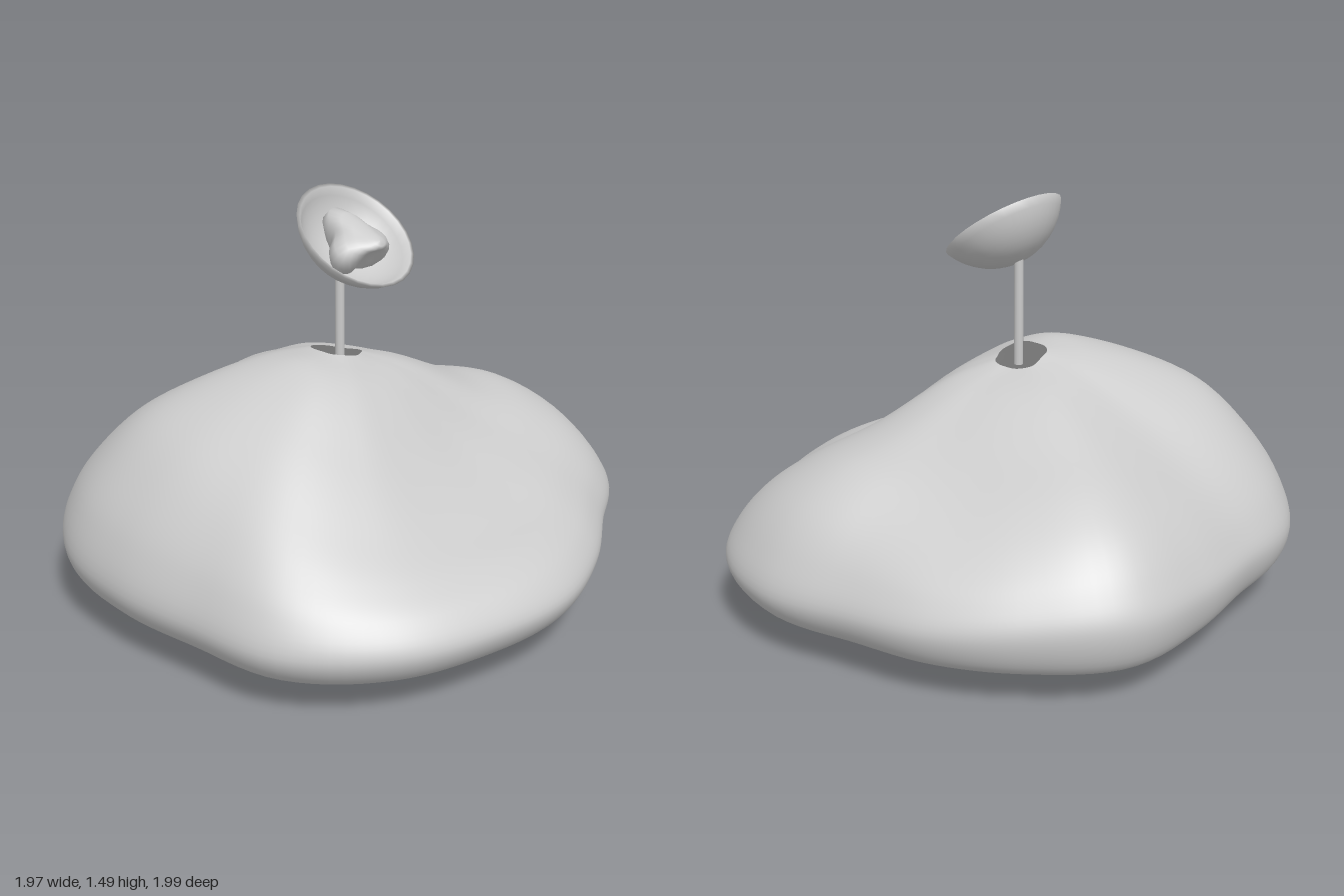
import * as THREE from 'three';

const material = new THREE.MeshStandardMaterial({ color: 0xcccccc, side: THREE.DoubleSide });

// Footprint radius every 20 degrees, from +x towards +z
const FOOTPRINT = [0.98, 1.005, 1.06, 1.07, 0.99, 1.005, 1.05, 1.03, 0.94,
  0.96, 1.025, 0.98, 0.95, 0.935, 1.015, 1.03, 0.93, 0.935];

// Mound profile: fraction of the radius, running from the top hole over the edge to the underside
const REACH = [0.09, 0.25, 0.5, 0.7, 0.85, 0.95, 1, 0.96, 0.87, 0.7, 0.4, 0];
const UNDERSIDE = [0.16, 0.105, 0.055, 0.02, 0];
// Heights of the upper side, one row every 40 degrees
const HEIGHTS = [
  [0.90, 0.82, 0.59, 0.455, 0.40, 0.335, 0.25],
  [0.915, 0.865, 0.68, 0.53, 0.43, 0.345, 0.25],
  [0.92, 0.915, 0.81, 0.68, 0.54, 0.40, 0.25],
  [0.918, 0.905, 0.83, 0.73, 0.58, 0.43, 0.26],
  [0.905, 0.86, 0.73, 0.61, 0.50, 0.39, 0.29],
  [0.885, 0.84, 0.73, 0.64, 0.54, 0.425, 0.31],
  [0.875, 0.825, 0.69, 0.58, 0.47, 0.37, 0.27],
  [0.88, 0.825, 0.70, 0.635, 0.53, 0.39, 0.25],
  [0.89, 0.825, 0.645, 0.53, 0.44, 0.35, 0.25],
];

// Smooth periodic interpolation through a list; u runs 0..1
function loopValue(list, u) {
  const n = list.length, s = u * n, i = Math.floor(s), f = s - i;
  const [a, b, c, d] = [-1, 0, 1, 2].map((k) => list[(i + k + n) % n]);
  return b + 0.5 * f * (c - a + f * (2 * a - 5 * b + 4 * c - d + f * (3 * (b - c) + d - a)));
}

// Surface through rings of points; point(u, row) gives a position, u runs 0..1 around
function ringSurface(rows, around, point) {
  const positions = [], index = [];
  for (let j = 0; j < rows; j++) {
    for (let i = 0; i < around; i++) positions.push(...point(i / around, j));
  }
  for (let j = 0; j < rows - 1; j++) {
    for (let i = 0; i < around; i++) {
      const a = j * around + i, b = j * around + (i + 1) % around;
      index.push(a, b, a + around, b, b + around, a + around);
    }
  }
  const geometry = new THREE.BufferGeometry();
  geometry.setAttribute('position', new THREE.Float32BufferAttribute(positions, 3));
  geometry.setIndex(index);
  geometry.computeVertexNormals();
  return geometry;
}

function addMesh(parent, name, geometry) {
  const mesh = new THREE.Mesh(geometry, material);
  mesh.name = name;
  parent.add(mesh);
  return mesh;
}

// Lobed hill, open at the top around the mast
function moundGeometry() {
  const around = 120, rows = 64, cx = -0.025, cz = 0.05;
  const columns = [];
  for (let i = 0; i < around; i++) {
    const u = i / around;
    const points = REACH.map((t, k) => {
      const y = k < 7 ? loopValue(HEIGHTS.map((row) => row[k]), u) : UNDERSIDE[k - 7];
      return new THREE.Vector3(t, y, 0);
    });
    columns.push(new THREE.CatmullRomCurve3(points).getPoints(rows - 1));
  }
  return ringSurface(rows, around, (u, j) => {
    const { x: t, y } = columns[Math.round(u * around)][j];
    const angle = u * Math.PI * 2, r = loopValue(FOOTPRINT, u) * t;
    return [cx * (1 - t) + r * Math.cos(angle), Math.max(0, y), cz * (1 - t) + r * Math.sin(angle)];
  });
}

// Thin spherical bowl; its rim lies at y = 0
function dishGeometry() {
  const arc = (radius, rim, depth) => {
    const points = [];
    const centre = radius - depth, end = Math.asin(rim / radius);
    for (let i = 0; i <= 8; i++) {
      const a = end * i / 8;
      points.push(new THREE.Vector2(radius * Math.sin(a), centre - radius * Math.cos(a)));
    }
    return points;
  };
  const outer = arc(0.25, 0.225, 0.141), inner = arc(0.242, 0.212, 0.125);
  return new THREE.LatheGeometry([...outer, ...inner.reverse()], 28);
}

// Three-lobed horn leaning to one side: [height, sideways shift, radius, lobe depth]
function hornGeometry() {
  const rings = [[0.068, 0.085, 0, 0], [0.064, 0.083, 0.022, 0], [0.052, 0.072, 0.04, 0.05],
    [0.036, 0.045, 0.062, 0.12], [0.018, 0.02, 0.085, 0.2], [-0.01, 0.004, 0.105, 0.27],
    [-0.05, 0.004, 0.105, 0.32], [-0.085, 0.015, 0.085, 0.3], [-0.1, 0.02, 0.07, 0.25]];
  return ringSurface(rings.length, 36, (u, j) => {
    const [y, shift, radius, lobe] = rings[j], a = u * Math.PI * 2;
    const r = radius * (1 - lobe * Math.cos(3 * a));
    return [shift + r * Math.cos(a), y, r * Math.sin(a)];
  });
}

export function createModel() {
  const model = new THREE.Group();
  model.name = 'moundWithDish';

  addMesh(model, 'mound', moundGeometry());

  const mast = addMesh(model, 'mast', new THREE.CylinderGeometry(0.017, 0.017, 0.4, 12));
  mast.position.set(0.013, 1.05, 0.07);

  // Tilted dish with the horn inside
  const head = new THREE.Group();
  head.name = 'dishHead';
  head.position.set(0.085, 1.35, 0.065);
  head.rotation.z = -0.675;
  addMesh(head, 'dish', dishGeometry());
  addMesh(head, 'horn', hornGeometry());
  model.add(head);

  return model;
}
